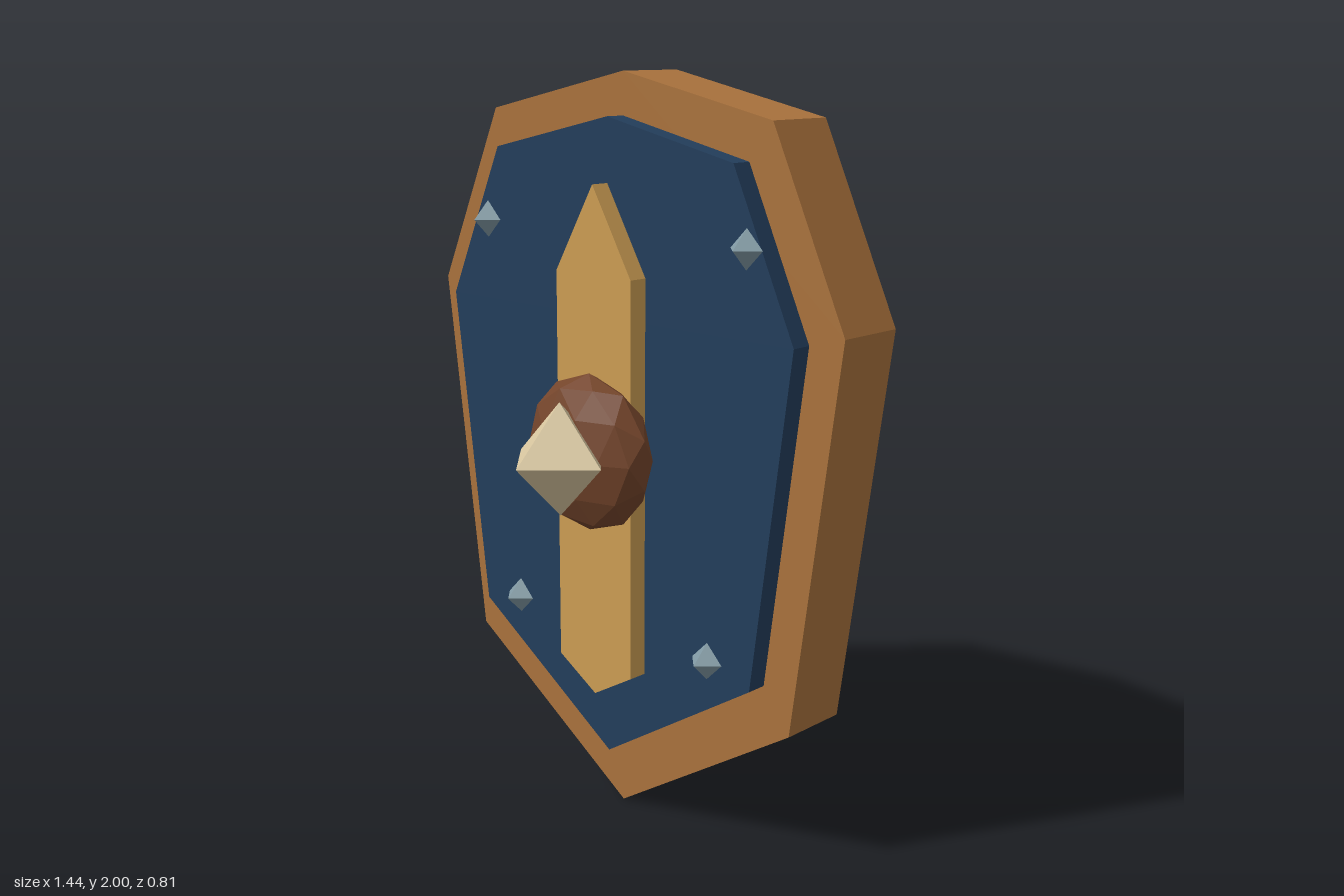
import * as THREE from 'three';

const paint = (name, color) => {
  const m = new THREE.MeshStandardMaterial({ color, flatShading: true });
  m.name = name;
  return m;
};

export function createModel() {
  const shield = new THREE.Group();
  shield.name = 'shield';

  const wood = paint('rimWood', 0xab733d);
  const blue = paint('panelBlue', 0x233e5c);
  const gold = paint('stripeGold', 0xcd9e54);
  const brown = paint('bossBrown', 0x74452b);
  const bone = paint('spikeBone', 0xd8c69f);
  const steel = paint('studSteel', 0x8199a3);
  const dark = paint('handleDark', 0x3a3033);

  const add = (name, geometry, material, x = 0, y = 0, z = 0) => {
    const mesh = new THREE.Mesh(geometry, material);
    mesh.name = name;
    mesh.position.set(x, y, z);
    shield.add(mesh);
    return mesh;
  };

  // Symmetric slab: right-hand outline from bottom to top, mirrored for the other side
  const slab = (name, half, zBack, zFront, material) => {
    const mirrored = half.slice(1, -1).reverse().map(([x, y]) => [-x, y]);
    const shape = new THREE.Shape([...half, ...mirrored].map(([x, y]) => new THREE.Vector2(x, y)));
    const geo = new THREE.ExtrudeGeometry(shape, { depth: zFront - zBack, bevelEnabled: false });
    add(name, geo, material, 0, 0, zBack);
  };

  // Layered plates
  slab('woodenBoard', [[0, 0], [0.585, 0.378], [0.718, 1.41], [0.49, 1.895], [0, 2]], -0.172, 0.025, wood);
  slab('bluePanel', [[0, 0.17], [0.5, 0.492], [0.614, 1.382], [0.42, 1.797], [0, 1.89]], 0.02, 0.082, blue);
  slab('centreStripe', [[0, 0.355], [0.135, 0.435], [0.135, 1.497], [0, 1.725]], 0.075, 0.135, gold);

  // Flattened faceted boss with one corner of the ball turned forward
  const boss = new THREE.IcosahedronGeometry(0.21, 1);
  boss.rotateX(Math.atan(2 / (1 + Math.sqrt(5))));
  boss.rotateZ(Math.PI / 2);
  boss.scale(1, 1, 0.47);
  add('boss', boss, brown, 0, 1.035, 0.15);
  add('spike', new THREE.OctahedronGeometry(0.15), bone, 0, 1.036, 0.255);

  // Studs
  for (const side of [-1, 1]) {
    add('upperStud', new THREE.OctahedronGeometry(0.05), steel, side * 0.465, 1.6, 0.082);
    add('lowerStud', new THREE.OctahedronGeometry(0.05), steel, side * 0.357, 0.535, 0.082);
  }

  // Octagonal handle: a grip between two slanted legs
  const rod = (name, a, b) => {
    const from = new THREE.Vector3(...a), to = new THREE.Vector3(...b);
    const dir = to.clone().sub(from);
    const geo = new THREE.CylinderGeometry(0.046, 0.046, dir.length(), 8, 1, false, Math.PI / 8);
    const mid = from.add(to).multiplyScalar(0.5);
    const mesh = add(name, geo, dark, mid.x, mid.y, mid.z);
    mesh.quaternion.setFromUnitVectors(new THREE.Vector3(0, 1, 0), dir.normalize());
    return mesh;
  };
  const y = 1.024;
  rod('handleGrip', [-0.188, y, -0.367], [0.188, y, -0.367]);
  for (const side of [-1, 1]) {
    const leg = rod('handleLeg', [0, 0, 0], [0, 0.235, 0]);
    leg.position.set(side * 0.22, y, -0.257);
    leg.rotation.set(-Math.PI / 2, 0, side * 0.235, 'ZYX');
    leg.quaternion.setFromUnitVectors(
      new THREE.Vector3(0, 0, 1),
      new THREE.Vector3(side * 0.233, 0, 0.972)
    ).multiply(new THREE.Quaternion().setFromAxisAngle(new THREE.Vector3(1, 0, 0), Math.PI / 2));
  }

  return shield;
}
